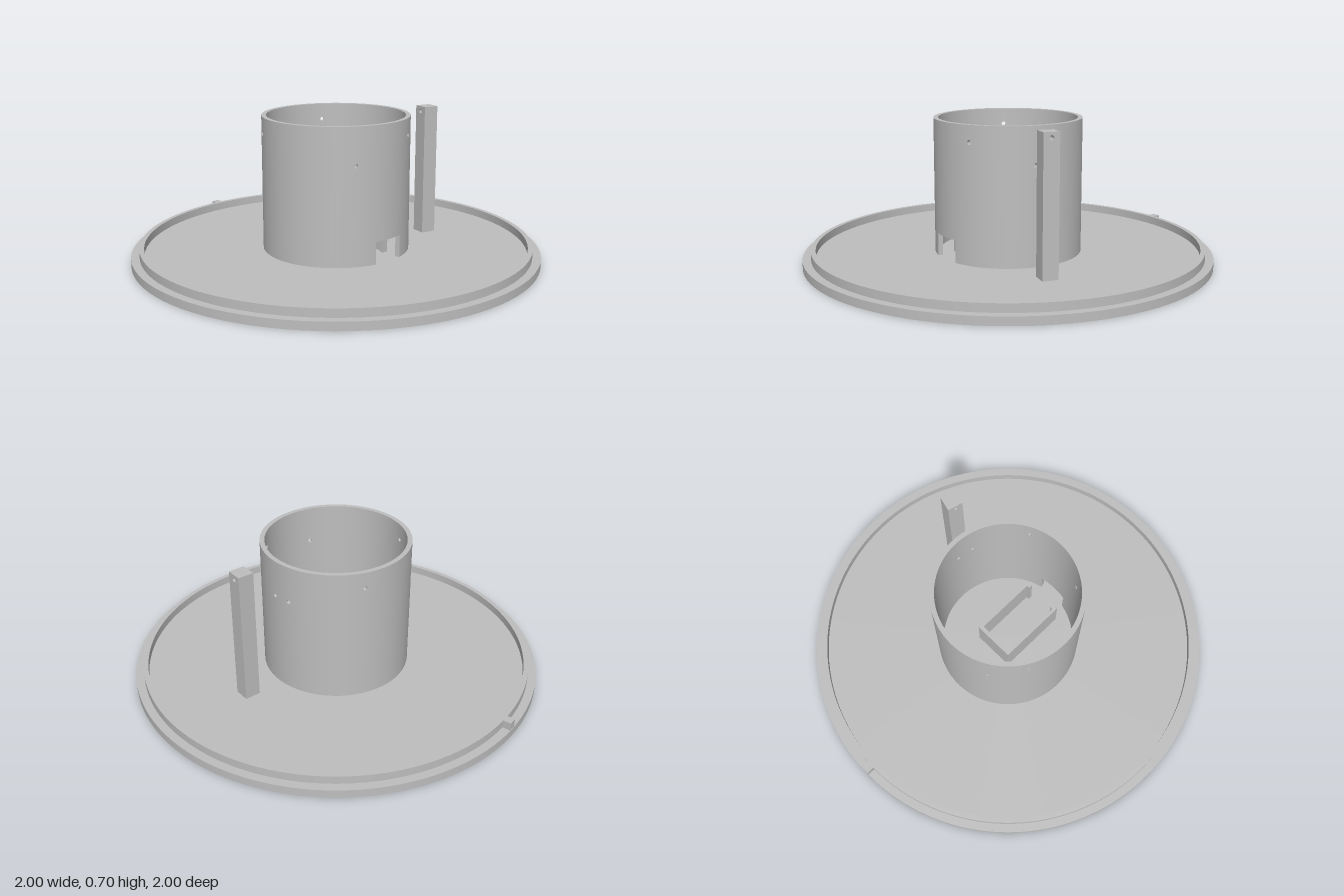
import * as THREE from 'three';
import { mergeGeometries, toCreasedNormals } from 'three/addons/utils/BufferGeometryUtils.js';

const FLOOR = 0.04, TOP = 0.7, HOLE = 0.011;
const R_OUT = 0.36, R_IN = 0.337;
const SLOT = 13, SLOT_TOP = 0.15; // cable slot: half angle in degrees, upper edge

// Wall holes: angle in degrees counter-clockwise from +x (seen from above), height
const wallHoles = [
  [-30, 0.52], [-150, 0.52], [90, 0.52], [76, 0.52],
  [-120, 0.62], [27, 0.62], [148, 0.62],
];

function polygon(points) {
  return new THREE.Shape(points.map(([x, y]) => new THREE.Vector2(x, y)));
}

function circleHole(x, y) {
  return new THREE.Path().absarc(x, y, HOLE, 0, Math.PI * 2, true);
}

// One strip of the tube wall, made flat and then bent around the y axis
function wallStrip(d0, d1) {
  const scale = R_OUT * Math.PI / 180;
  const x0 = d0 * scale, x1 = d1 * scale, mid = (d0 + d1) / 2;
  const bottom = Math.abs(mid) < SLOT ? SLOT_TOP : FLOOR;
  const shape = polygon([[x0, bottom], [x1, bottom], [x1, TOP], [x0, TOP]]);
  for (const [deg, y] of wallHoles) {
    if (Math.abs(deg - mid) < 0.1) shape.holes.push(circleHole(deg * scale, y));
  }
  const flat = new THREE.ExtrudeGeometry(shape, {
    depth: R_OUT - R_IN, bevelEnabled: false, curveSegments: 12,
  });
  const p = flat.attributes.position, n = flat.attributes.normal;
  const pos = [], nor = [];
  for (let i = 0; i < p.count; i += 3) {
    // leave out the seams between strips, except the sides of the slot
    const seam = [[x0, d0], [x1, d1]].some(([x, d]) =>
      Math.abs(Math.abs(d) - SLOT) > 0.01 &&
      [0, 1, 2].every((k) => Math.abs(p.getX(i + k) - x) < 1e-5));
    if (seam) continue;
    for (let k = i; k < i + 3; k++) {
      const a = p.getX(k) / R_OUT, c = Math.cos(a), s = Math.sin(a);
      const r = R_IN + p.getZ(k);
      pos.push(r * c, p.getY(k), -r * s);
      const nx = n.getX(k), nz = n.getZ(k);
      nor.push(nz * c - nx * s, n.getY(k), -nz * s - nx * c);
    }
  }
  const g = new THREE.BufferGeometry();
  g.setAttribute('position', new THREE.Float32BufferAttribute(pos, 3));
  g.setAttribute('normal', new THREE.Float32BufferAttribute(nor, 3));
  return g;
}

function tubeGeometry() {
  const cuts = [-180, -SLOT, SLOT, 180];
  for (const [deg] of wallHoles) cuts.push(deg - 2.5, deg + 2.5);
  cuts.sort((a, b) => a - b);
  const strips = [];
  for (let i = 0; i < cuts.length - 1; i++) {
    const span = cuts[i + 1] - cuts[i], count = Math.ceil(span / 5 - 1e-6);
    for (let j = 0; j < count; j++) {
      strips.push(wallStrip(cuts[i] + span * j / count, cuts[i] + span * (j + 1) / count));
    }
  }
  return mergeGeometries(strips);
}

export function createModel() {
  const model = new THREE.Group();
  model.name = 'baseWithTube';
  const grey = new THREE.MeshStandardMaterial({ color: 0xbebebe });
  grey.name = 'grey plastic';
  const add = (name, geometry) => {
    const mesh = new THREE.Mesh(geometry, grey);
    mesh.name = name;
    model.add(mesh);
    return mesh;
  };

  // Round plate with a raised rim set in from its edge
  const profile = [
    [0, 0], [1, 0], [1, FLOOR], [0.96, FLOOR], [0.96, 0.08],
    [0.937, 0.08], [0.937, FLOOR], [0, FLOOR],
  ].map(([r, y]) => new THREE.Vector2(r, y));
  add('basePlate', toCreasedNormals(new THREE.LatheGeometry(profile, 128), 0.5));

  // Locating tab on the rim
  add('rimTab', new THREE.BoxGeometry(0.045, 0.042, 0.04)).position.set(-0.975, 0.059, 0);

  // Central tube with small holes and a slot at the foot
  add('tube', tubeGeometry());

  // Open-ended holder with inward lips inside the tube
  const half = [[0.25, 0.075], [0.25, 0.105], [-0.105, 0.105]];
  const inner = [[-0.085, 0.09], [0.23, 0.09], [0.23, 0.075]];
  const flip = (pts) => pts.map(([x, y]) => [x, -y]).reverse();
  const holder = new THREE.ExtrudeGeometry(
    polygon([...half, ...flip(half), ...flip(inner), ...inner]),
    { depth: 0.16, bevelEnabled: false });
  holder.rotateX(-Math.PI / 2);
  add('innerHolder', holder).position.y = FLOOR;

  // Square post behind the tube, with a hole pointing at the tube
  const w = 0.077;
  const side = polygon([[-w / 2, FLOOR], [w / 2, FLOOR], [w / 2, TOP], [-w / 2, TOP]]);
  side.holes.push(circleHole(0, 0.675));
  const postGeometry = new THREE.ExtrudeGeometry(side, { depth: w, bevelEnabled: false });
  postGeometry.translate(0, 0, -w / 2);
  const post = add('post', postGeometry);
  post.position.set(0.136, 0, -0.515);
  post.rotation.y = Math.atan2(0.136, -0.515);

  return model;
}
